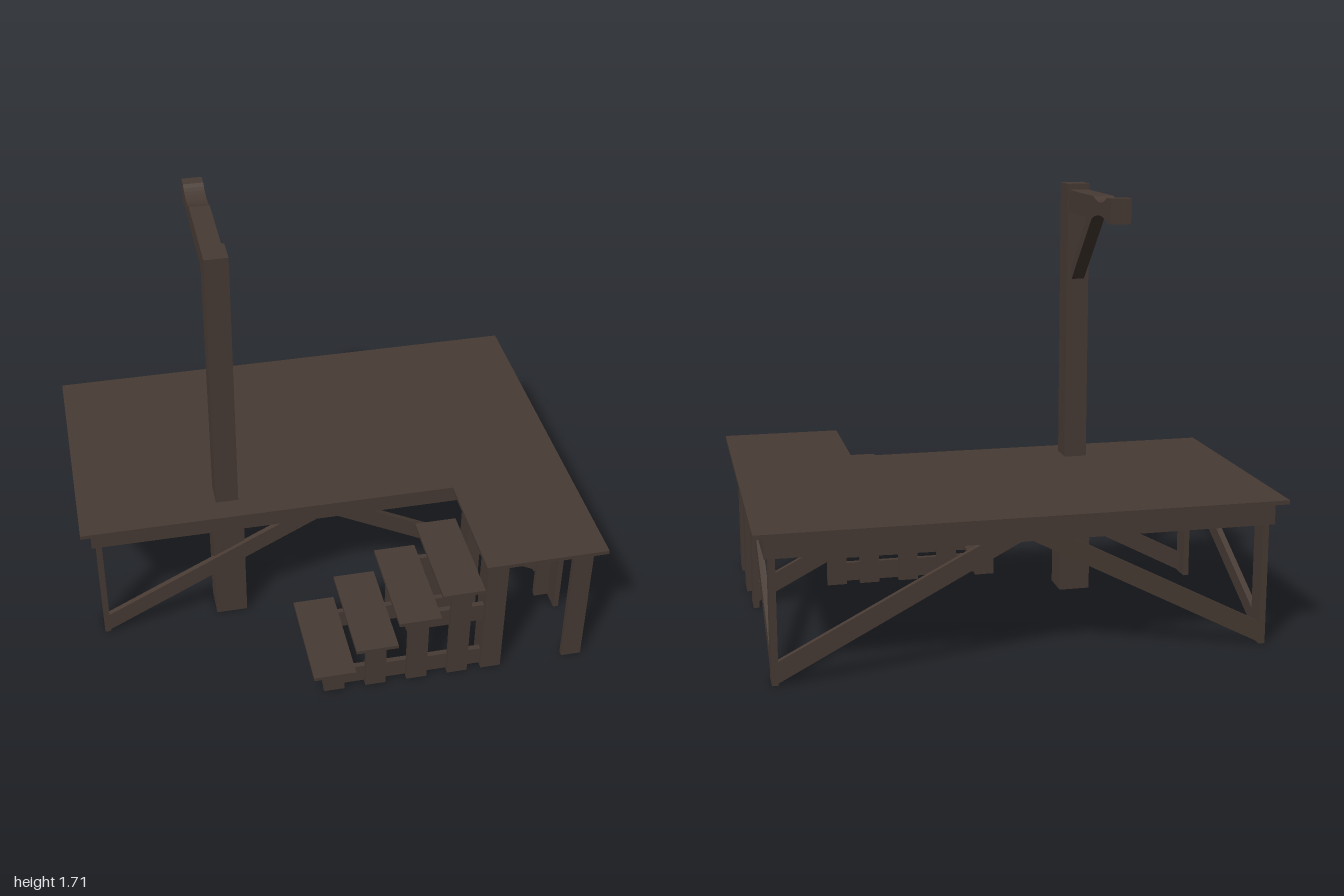
import * as THREE from 'three';

export function createModel() {
  const model = new THREE.Group();
  model.name = 'timberPlatform';
  const wood = new THREE.MeshStandardMaterial({ color: 0x483b34 });
  wood.name = 'darkWood';

  function add(name, geometry) {
    const mesh = new THREE.Mesh(geometry, wood);
    mesh.name = name;
    model.add(mesh);
    return mesh;
  }
  // Box given by its limits on each axis
  function box(name, x0, x1, y0, y1, z0, z1) {
    const g = new THREE.BoxGeometry(x1 - x0, y1 - y0, z1 - z0);
    g.translate((x0 + x1) / 2, (y0 + y1) / 2, (z0 + z1) / 2);
    return add(name, g);
  }
  const polygon = (pts) => new THREE.Shape(pts.map(([a, b]) => new THREE.Vector2(a, b)));
  // Plank with an outline in x,y between two z values
  function plankXY(name, shape, z0, z1) {
    const g = new THREE.ExtrudeGeometry(shape, { depth: z1 - z0, bevelEnabled: false });
    g.translate(0, 0, z0);
    return add(name, g);
  }
  // Plank with an outline in z,y between two x values
  function plankZY(name, shape, x0, x1) {
    const g = new THREE.ExtrudeGeometry(shape, { depth: x1 - x0, bevelEnabled: false, curveSegments: 10 });
    g.rotateY(-Math.PI / 2);
    g.translate(x1, 0, 0);
    return add(name, g);
  }

  // L-shaped deck
  const deck = new THREE.ExtrudeGeometry(
    polygon([[-1, 0.76], [1, 0.76], [1, -0.76], [0.51, -0.76], [0.51, -0.27], [-1, -0.27]].reverse()),
    { depth: 0.016, bevelEnabled: false });
  deck.rotateX(-Math.PI / 2);
  deck.translate(0, 0.567, 0);
  add('deck', deck);

  // Apron under the main deck
  box('frontApron', -0.96, 0.96, 0.48, 0.567, 0.212, 0.232);
  box('backApron', -0.96, 0.96, 0.48, 0.567, -0.72, -0.7);
  for (const s of [-1, 1]) {
    const x = s * 0.95;
    box('sideApron', x - 0.01, x + 0.01, 0.48, 0.567, -0.7, 0.212);
  }

  // Main legs and diagonal braces, mirrored left and right
  for (const s of [-1, 1]) {
    const x0 = Math.min(s * 0.92, s * 0.944), x1 = x0 + 0.024;
    box('frontLeg', x0, x1, 0, 0.567, 0.131, 0.217);
    box('backLeg', x0, x1, 0, 0.567, -0.705, -0.624);
    plankZY('sideBrace', polygon([[-0.624, 0.05], [0.131, 0.445], [0.131, 0.48], [0.063, 0.48], [-0.624, 0.118]]), x0, x1);
    const long = [[0.925, 0.003], [0.925, 0.085], [0.16, 0.48], [0.01, 0.48]];
    for (const [name, z] of [['frontBrace', 0.19], ['backBrace', -0.7]]) {
      plankXY(name, polygon(long.map(([x, y]) => [s * x, y])), z, z + 0.022);
    }
  }

  // Angle-shaped legs under the landing, corners facing outward
  const t = 0.022;
  for (const [x0, x1, left] of [[0.53, 0.612, false], [0.874, 0.955, true]]) {
    for (const [z0, z1, front] of [[0.344, 0.446, false], [0.624, 0.724, true]]) {
      const xa = left ? x1 - t : x0;
      const za = front ? z1 - t : z0;
      box('landingLegSide', xa, xa + t, 0, 0.567, z0, z1);
      box('landingLegFace', left ? x0 : x0 + t, left ? x1 - t : x1, 0, 0.567, za, za + t);
    }
  }

  // Steps with uprights on both sides
  for (let i = 0; i < 4; i++) {
    const x = -0.165 + i * 0.169, y = 0.105 + i * 0.115;
    box('tread', x, x + 0.169, y, y + 0.015, 0.325, 0.76);
    for (const z of [0.344, 0.702]) box('stepUpright', x + 0.047, x + 0.13, 0, y, z, z + t);
  }
  // Rails tying the uprights to the landing
  for (const z of [0.366, 0.68]) {
    box('lowerStairRail', -0.118, 0.56, 0.008, 0.088, z, z + t);
    box('upperStairRail', 0.217, 0.56, 0.25, 0.33, z, z + t);
  }

  // Upright post with a thicker foot
  box('postFoot', -0.47, -0.342, 0, 0.567, 0.068, 0.196);
  box('post', -0.449, -0.358, 0.567, 1.714, 0.068, 0.172);

  // Arm with a waisted end
  const arm = polygon([[0.07, 1.69], [0.07, 1.602], [-0.245, 1.602]].reverse());
  arm.curves.length = 0;
  arm.moveTo(0.07, 1.69);
  arm.lineTo(-0.265, 1.69);
  arm.bezierCurveTo(-0.32, 1.665, -0.38, 1.665, -0.437, 1.697);
  arm.lineTo(-0.485, 1.697);
  arm.lineTo(-0.485, 1.602);
  arm.lineTo(-0.442, 1.602);
  arm.bezierCurveTo(-0.39, 1.63, -0.31, 1.63, -0.245, 1.602);
  arm.lineTo(0.07, 1.602);
  arm.closePath();
  plankZY('arm', arm, -0.444, -0.364);
  plankZY('armBrace', polygon([[0.07, 1.327], [0.07, 1.388], [-0.14, 1.604], [-0.204, 1.604]]), -0.43, -0.378);

  return model;
}
